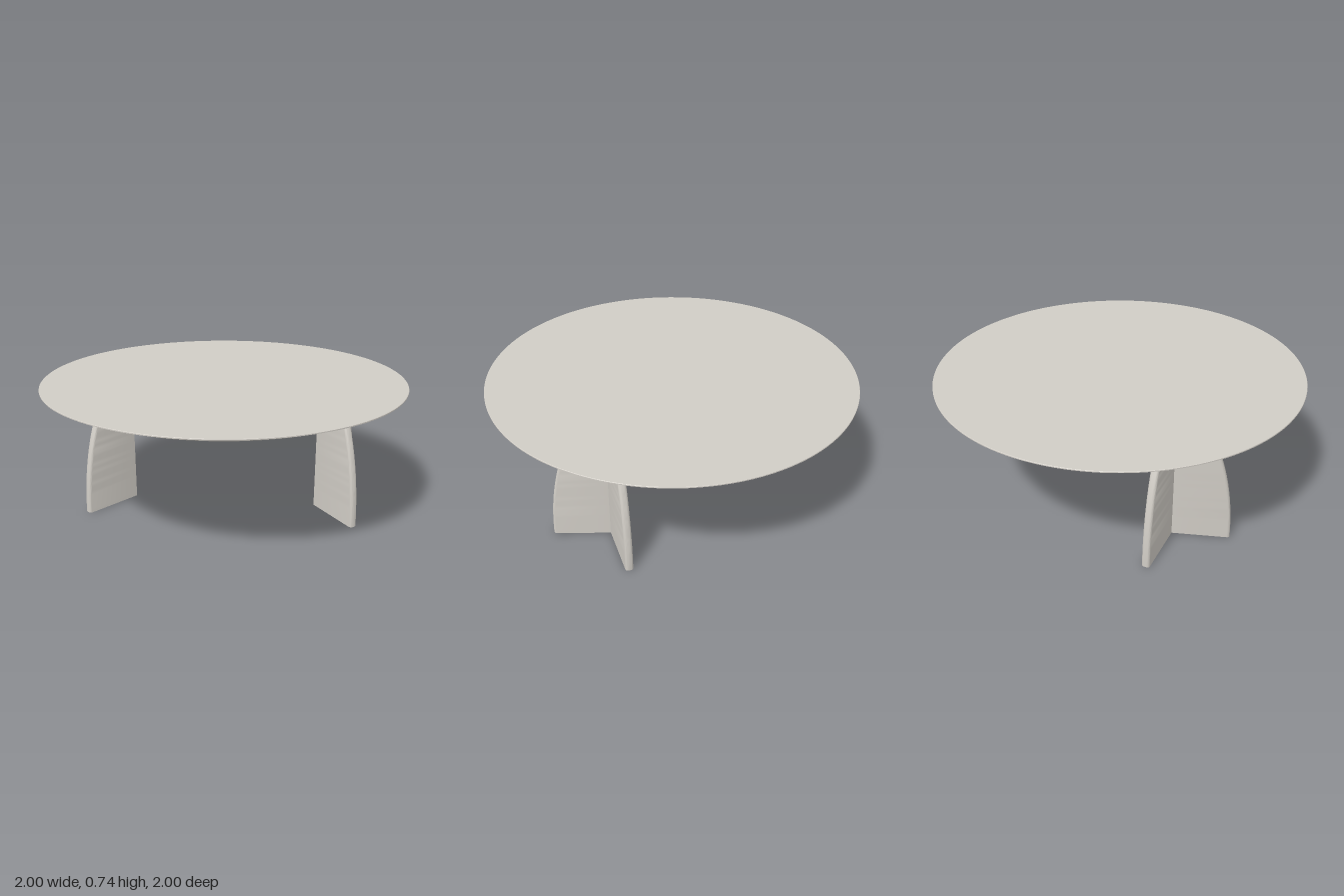
import * as THREE from 'three';
import { toCreasedNormals } from 'three/addons/utils/BufferGeometryUtils.js';

const UNDERSIDE = 0.695, TOP = 0.737;

// Round top with a thin lip and a wide chamfer underneath
function topGeometry() {
  const profile = [[0, UNDERSIDE], [0.912, UNDERSIDE], [1, 0.73], [1, TOP - 0.002], [0.998, TOP], [0, TOP]]
    .map(([r, y]) => new THREE.Vector2(r, y));
  return toCreasedNormals(new THREE.LatheGeometry(profile, 128), 0.3);
}

// Horizontal V-shaped section of a leg; reach is the length of each wing
function legSection(reach) {
  const vertexX = 0.523, thick = 0.043, r = 0.015, steps = 5;
  const angle = THREE.MathUtils.degToRad(53.8);
  const c = Math.cos(angle), s = Math.sin(angle);
  const place = (along, across) => [vertexX + along * c + across * s, along * s - across * c];
  const wing = [];
  for (const [across, start] of [[r, -Math.PI / 2], [thick - r, 0]]) {
    for (let i = 0; i <= steps; i++) {
      const a = start + (i / steps) * Math.PI / 2;
      wing.push(place(reach - r + r * Math.cos(a), across + r * Math.sin(a)));
    }
  }
  const mirrored = wing.map(([x, z]) => [x, -z]).reverse();
  return [[vertexX, 0], ...wing, [vertexX + thick / s, 0], ...mirrored];
}

// Loft the section upwards while the wings taper along an elliptical curve
function legGeometry() {
  const rows = 32, positions = [], index = [];
  let n = 0, section;
  for (let j = 0; j <= rows; j++) {
    const y = UNDERSIDE * j / rows;
    section = legSection(0.341 * Math.sqrt(1 - (y / 0.785) ** 2));
    n = section.length;
    for (const [x, z] of section) positions.push(x, y, z);
  }
  for (let j = 0; j < rows; j++) {
    for (let i = 0; i < n; i++) {
      const a = j * n + i, b = j * n + (i + 1) % n;
      index.push(a, b, b + n, a, b + n, a + n);
    }
  }
  // End caps
  const flat = section.map(([x, z]) => new THREE.Vector2(x, -z));
  for (const [a, b, c] of THREE.ShapeUtils.triangulateShape(flat, [])) {
    index.push(a, c, b, rows * n + a, rows * n + b, rows * n + c);
  }
  const geometry = new THREE.BufferGeometry();
  geometry.setAttribute('position', new THREE.Float32BufferAttribute(positions, 3));
  geometry.setIndex(index);
  return toCreasedNormals(geometry, 0.5);
}

export function createModel() {
  const model = new THREE.Group();
  model.name = 'roundTable';
  const stone = new THREE.MeshStandardMaterial({ color: 0xd0ccc5 });
  stone.name = 'warm grey';

  const top = new THREE.Mesh(topGeometry(), stone);
  top.name = 'tableTop';
  model.add(top);

  // Two folded legs, opening outwards
  const geometry = legGeometry();
  ['leftLeg', 'rightLeg'].forEach((name, i) => {
    const leg = new THREE.Mesh(geometry, stone);
    leg.name = name;
    leg.rotation.y = i * Math.PI;
    model.add(leg);
  });
  return model;
}
